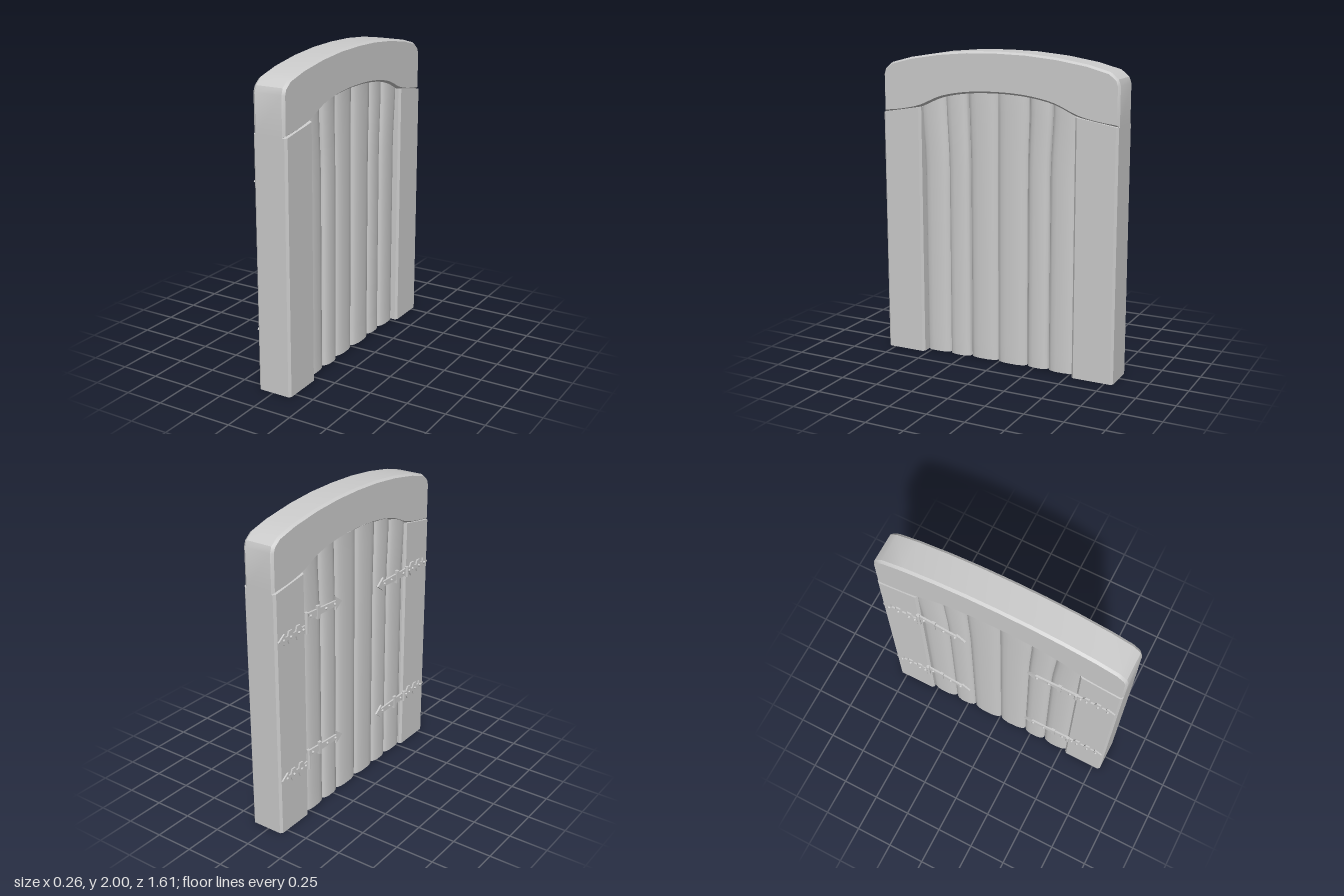
import * as THREE from 'three';
import { toCreasedNormals } from 'three/addons/utils/BufferGeometryUtils.js';

const material = new THREE.MeshStandardMaterial({ color: 0xcccccc });
const vectors = (pts) => pts.map(([a, b]) => new THREE.Vector2(a, b));

function addMesh(parent, name, geometry) {
  const mesh = new THREE.Mesh(geometry, material);
  mesh.name = name;
  parent.add(mesh);
  return mesh;
}

// Vertical board from an (x, -z) outline; rule(v) reshapes each vertex
function board(outline, height, steps, rule) {
  const geo = new THREE.ExtrudeGeometry(new THREE.Shape(vectors(outline)), { depth: height, steps, bevelEnabled: false });
  geo.rotateX(-Math.PI / 2);
  const pos = geo.attributes.position;
  const v = new THREE.Vector3();
  for (let i = 0; i < pos.count; i++) {
    rule(v.fromBufferAttribute(pos, i));
    pos.setXYZ(i, v.x, v.y, v.z);
  }
  return toCreasedNormals(geo, 0.55);
}

// Side post with chamfered long edges and a top that rises towards the planks
function post(side) {
  const c = 0.014, x0 = -0.104, x1 = 0.124;
  const b0 = side > 0 ? -0.803 : 0.528, b1 = side > 0 ? -0.528 : 0.803;
  const outline = [
    [x0 + c, b0], [x1 - c, b0], [x1, b0 + c], [x1, b1 - c],
    [x1 - c, b1], [x0 + c, b1], [x0, b1 - c], [x0, b0 + c],
  ];
  return board(outline, 1.59, 1, (v) => {
    if (v.y > 1) v.y = 1.588 + 0.17 * (0.803 - Math.abs(v.z));
  });
}

// Plank with rounded long edges, fanning out slightly near the top
function plank(z0, z1, inset) {
  const profile = [[0, 0.03], [0.05, 0.016], [0.15, 0.007], [0.32, 0], [0.68, 0], [0.85, 0.007], [0.95, 0.016], [1, 0.03]];
  const z = (u) => -(z0 + 0.002 + (z1 - z0 - 0.004) * u);
  const right = profile.map(([u, d]) => [0.094 - inset - d, z(u)]);
  const left = profile.map(([u, d]) => [-0.093 + d * 0.8, z(u)]).reverse();
  return board([...right, ...left].reverse(), 1.75, 14, (v) => {
    v.z *= 1 + 0.05 * THREE.MathUtils.smoothstep(v.y, 1.25, 1.7);
    if (v.y < 0.001) v.y = 0.008;
  });
}

// Curved head beam over the planks
function archBeam() {
  const b = 0.017;
  const under = [[-0.803, 1.588], [-0.66, 1.606], [-0.53, 1.637], [-0.38, 1.7], [-0.2, 1.734], [0, 1.744]];
  const over = [[0.803, 1.83], [0.79, 1.868], [0.74, 1.908], [0.6, 1.945], [0.4, 1.977], [0.2, 1.995], [0, 2.0]];
  const mirror = (pts) => pts.slice(0, -1).reverse().map(([s, y]) => [-s, y]);
  const underCurve = new THREE.SplineCurve(vectors([...under, ...mirror(under)])).getPoints(40);
  const shape = new THREE.Shape([...underCurve, ...vectors([...over, ...mirror(over)])]);
  const geo = new THREE.ExtrudeGeometry(shape, {
    depth: 0.212 - 2 * b, bevelThickness: b, bevelSize: 0.012, bevelOffset: -0.012, bevelSegments: 1,
  });
  geo.rotateY(Math.PI / 2).translate(-0.098 + b, 0, 0);
  return toCreasedNormals(geo, 0.5);
}

// Flat iron plate: outline in (z, y), thickness towards -x
function plate(outline, thickness) {
  return new THREE.ExtrudeGeometry(new THREE.Shape(vectors(outline)), { depth: thickness, bevelEnabled: false })
    .rotateY(-Math.PI / 2);
}

function addRivet(parent, z, y) {
  const rivet = addMesh(parent, 'rivet', new THREE.CylinderGeometry(0.007, 0.01, 0.012, 8).rotateZ(Math.PI / 2));
  rivet.position.set(-0.016, y, z);
}

// Hinge measured from its pin: strap runs to -z, leaf to +z
function hinge(strapLift, strapTilt) {
  const group = new THREE.Group();
  group.name = 'hinge';

  const strap = new THREE.Group();
  strap.name = 'strap';
  const half = [[-0.33, 0], [-0.27, 0.045], [-0.275, 0.018], [0, 0.024]];
  const lower = half.slice(1).map(([z, y]) => [z, -y]);
  addMesh(strap, 'strapPlate', plate([...lower, ...half.slice(1).reverse(), half[0]], 0.012));
  const bar = [[-0.012, -0.042], [0.012, -0.042], [0.012, 0.042], [-0.012, 0.042]];
  addMesh(strap, 'strapCrossbar', plate(bar, 0.018)).position.z = -0.11;
  for (const z of [-0.26, -0.18, -0.04]) addRivet(strap, z, 0);
  strap.position.y = strapLift;
  strap.rotation.y = strapTilt;
  group.add(strap);

  // Lobed leaf with a pointed end
  const edge = [[0, 0.022], [0.04, 0.018], [0.055, 0.045], [0.085, 0.045], [0.095, 0.014], [0.12, 0.014],
    [0.13, 0.04], [0.16, 0.04], [0.17, 0.012], [0.195, 0.012], [0.2, 0.036]];
  addMesh(group, 'leaf', plate([...edge.map(([z, y]) => [z, -y]), [0.255, 0], ...edge.slice().reverse()], 0.012));
  for (const z of [0.03, 0.07, 0.145, 0.21]) addRivet(group, z, 0);

  const pin = addMesh(group, 'hingePin', new THREE.CylinderGeometry(0.012, 0.012, 0.07 + strapLift, 10));
  pin.position.set(-0.012, strapLift / 2, 0);
  return group;
}

export function createModel() {
  const model = new THREE.Group();
  model.name = 'archedGate';

  addMesh(model, 'leftEndPost', post(1));
  addMesh(model, 'rightEndPost', post(-1));
  addMesh(model, 'archBeam', archBeam());

  // Planks between the posts
  const edges = [-0.532, -0.35, -0.2, 0.005, 0.2, 0.353, 0.532];
  for (let i = 0; i < edges.length - 1; i++) {
    addMesh(model, 'plank', plank(edges[i], edges[i + 1], i % 2 ? 0.006 : 0));
  }

  // Two hinges per side; on one side the straps sit higher and stand off
  for (const y of [0.385, 1.305]) {
    const whole = hinge(0, 0);
    whole.position.set(-0.102, y, 0.535);
    const loose = hinge(0.065, 0);
    loose.position.set(-0.102, y - 0.01, -0.535);
    loose.rotation.y = 0;
    // Mirror along z by a half turn of each plate outline
    loose.traverse((o) => {
      if (!o.isMesh) return;
      const p = o.geometry.attributes.position;
      for (let i = 0; i < p.count; i++) p.setZ(i, -p.getZ(i));
      flip(o);
      o.position.z *= -1;
    });
    loose.getObjectByName('strap').rotation.y = -0.05;
    model.add(whole, loose);
  }
  return model;
}

// Restores outward faces after mirroring
function flip(mesh) {
  const geo = mesh.geometry.index ? mesh.geometry.toNonIndexed() : mesh.geometry;
  const p = geo.attributes.position;
  const a = new THREE.Vector3(), b = new THREE.Vector3();
  for (let i = 0; i < p.count; i += 3) {
    a.fromBufferAttribute(p, i + 1);
    b.fromBufferAttribute(p, i + 2);
    p.setXYZ(i + 1, b.x, b.y, b.z);
    p.setXYZ(i + 2, a.x, a.y, a.z);
  }
  mesh.geometry = toCreasedNormals(geo, 0.5);
}
